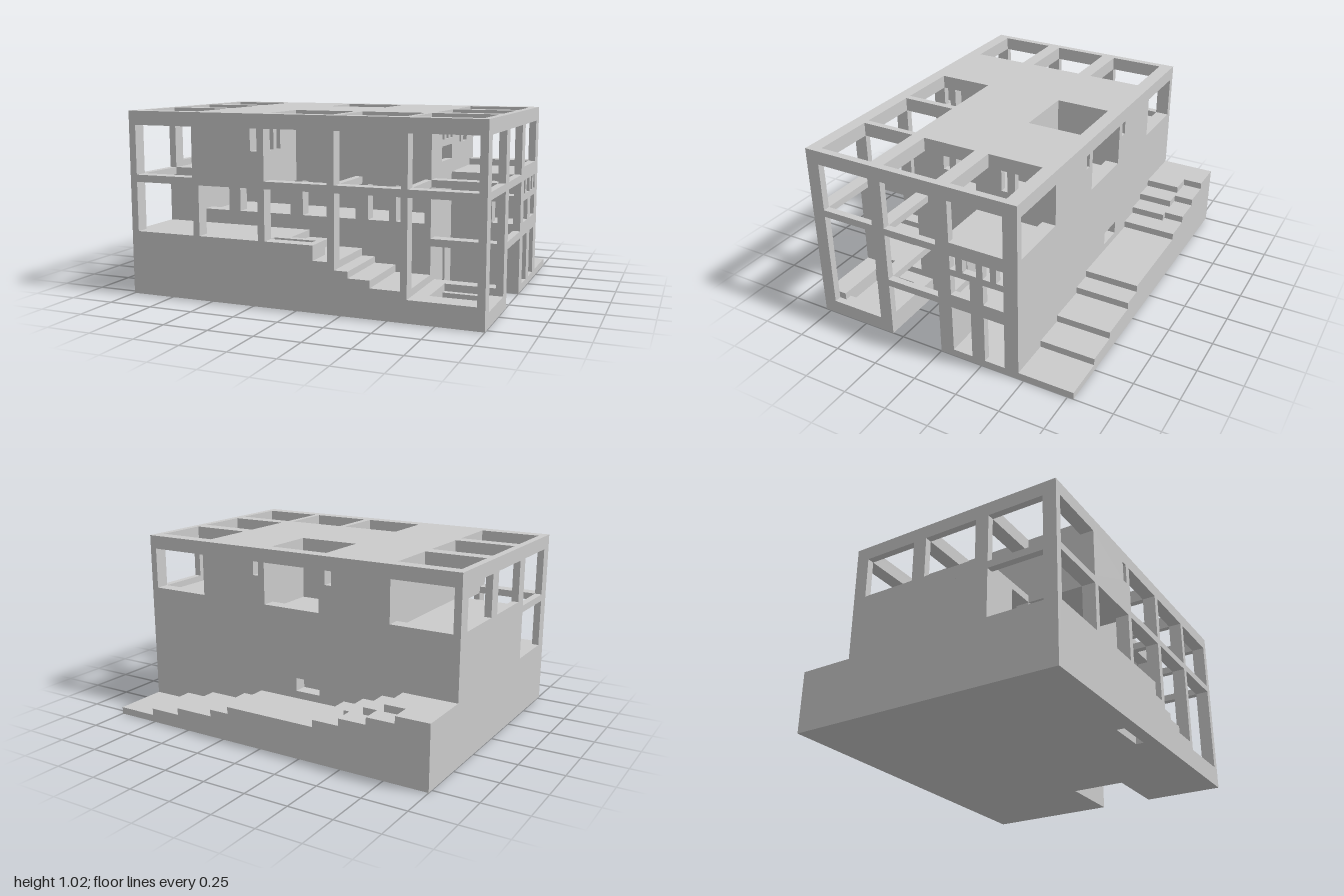
import * as THREE from 'three';

const mat = new THREE.MeshStandardMaterial({ color: 0xcccccc, flatShading: true });

// [u0, u1, v0, v1] becomes a rectangle; a list of points stays a polygon
const outline = (r) => typeof r[0] === 'number'
  ? [[r[0], r[2]], [r[1], r[2]], [r[1], r[3]], [r[0], r[3]]] : r;

export function createModel() {
  const group = new THREE.Group();
  group.name = 'house';

  // Plate with holes, a..b thick along its axis.
  // Drawn in (x, y) for axis z, (z, y) for axis x and (x, z) for axis y.
  function plate(name, axis, a, b, shapeDef, holes = []) {
    const pts = (r) => {
      const list = outline(r).map(([u, v]) => new THREE.Vector2(
        axis === 'x' ? -u : u, axis === 'y' ? -v : v));
      // mirrored outlines are reversed to stay counter-clockwise
      return axis === 'z' ? list : list.reverse();
    };
    const shape = new THREE.Shape(pts(shapeDef));
    for (const h of holes) shape.holes.push(new THREE.Path(pts(h)));
    const geo = new THREE.ExtrudeGeometry(shape, { depth: b - a, bevelEnabled: false });
    geo.translate(0, 0, a);
    if (axis === 'x') geo.rotateY(Math.PI / 2);
    if (axis === 'y') geo.rotateX(-Math.PI / 2);
    const mesh = new THREE.Mesh(geo, mat);
    mesh.name = name;
    group.add(mesh);
  }
  const block = (name, x0, x1, z0, z1, h, y0 = 0) => plate(name, 'y', y0, h, [x0, x1, z0, z1]);

  // Structural grid
  const X = [[-0.96, -0.607], [-0.57, -0.217], [-0.178, 0.177], [0.216, 0.57], [0.605, 0.96]];
  const Z = [[-0.393, -0.08], [-0.003, 0.315], [0.392, 0.708]];
  const bay = (i, y0, y1) => [...X[i], y0, y1];
  const cell = (i, j) => [...X[i], ...Z[j]];
  const TOP = 1.02, HEAD = 0.943, SILL = 0.707, UP = 0.67, MID = 0.63, LOW = 0.355;
  const FRONT = 0.783, BACK = -0.783;

  // Roof and upper floor with open bays
  plate('roof', 'y', HEAD, TOP, [-1, 1, -0.47, FRONT],
    [cell(0, 0), cell(0, 1), cell(0, 2), cell(2, 0), cell(2, 2), cell(3, 2),
      cell(4, 0), cell(4, 1), cell(4, 2)]);
  plate('upperFloor', 'y', MID, UP, [-1, 1, -0.47, FRONT],
    [cell(0, 2), cell(2, 2), cell(3, 2), cell(4, 1), cell(4, 2)]);

  // Front wall, with sills following the stairs
  plate('frontWall', 'z', 0.708, FRONT, [-1, 1, 0, TOP], [
    bay(0, UP, HEAD), bay(2, UP, HEAD), bay(3, UP, HEAD), bay(4, UP, HEAD),
    [-0.255, -0.217, 0.825, HEAD],
    bay(0, LOW, MID), bay(1, LOW, MID), bay(4, 0.12, MID),
    [[-0.178, LOW], [0.097, LOW], [0.097, 0.275], [0.177, 0.275], [0.177, MID], [-0.178, MID]],
    [[0.216, 0.235], [0.29, 0.235], [0.29, 0.2], [0.41, 0.2], [0.41, 0.16], [0.57, 0.16],
      [0.57, MID], [0.216, MID]],
  ]);

  // Back wall
  plate('backWall', 'z', -0.47, -0.393, [-1, 1, 0, TOP], [
    bay(0, SILL, HEAD), bay(2, SILL, HEAD), bay(4, SILL, HEAD),
    [-0.255, -0.217, 0.865, HEAD], [0.216, 0.25, 0.865, HEAD],
    [-0.18, -0.03, 0.24, 0.315],
  ]);

  // Left end wall, with the notch of the entrance cut from its foot
  plate('entranceWall', 'x', 0.96, 1,
    [[-0.47, 0], [0, 0], [0, 0.315], [0.318, 0.315], [0.318, 0], [FRONT, 0], [FRONT, TOP], [-0.47, TOP]], [
      [...Z[2], UP, HEAD], [...Z[2], 0.08, MID],
      [0, 0.318, UP, HEAD], [0, 0.318, LOW, MID],
      [-0.39, -0.078, SILL, HEAD],
      [-0.115, -0.078, 0.55, MID], [-0.235, -0.155, 0.55, MID],
      [-0.315, -0.272, 0.55, MID], [-0.39, -0.35, 0.55, MID],
      [-0.195, -0.078, 0.393, 0.513], [-0.39, -0.272, 0.393, 0.513],
      [-0.195, -0.078, 0.04, 0.315], [-0.39, -0.272, 0.04, 0.315],
    ]);

  // Right end wall
  plate('farEndWall', 'x', -1, -0.96, [-0.47, FRONT, 0, TOP], [
    [...Z[0], SILL, HEAD], [...Z[1], SILL, HEAD], [...Z[2], UP, HEAD], [...Z[2], LOW, MID]]);

  // Cross walls parallel to the front
  plate('loggiaWall', 'z', 0.316, 0.392, [-1, 1, 0, TOP], [
    bay(0, UP, HEAD), bay(1, UP, HEAD), bay(4, UP, HEAD),
    bay(4, LOW, MID), bay(4, 0.12, 0.315),
    [-0.77, -0.607, 0.435, MID], [-0.535, -0.217, 0.435, MID], [-0.14, 0.177, 0.435, MID],
    [0.25, 0.37, 0.435, MID], [0.41, 0.57, 0.435, MID],
  ]);
  plate('rearRoomWall', 'z', -0.08, 0, [-1, 1, 0, TOP], [
    bay(0, UP, HEAD), bay(1, UP, HEAD), bay(3, UP, HEAD), bay(4, UP, HEAD),
    [-0.96, 0.57, LOW, MID],
    [0.84, 0.96, 0.55, MID], [0.84, 0.96, 0.393, 0.513],
  ]);

  // Partitions running front to back
  plate('entrancePartition', 'x', 0.57, 0.605, [-0.47, 0.392, 0, TOP], [
    [0.12, 0.16, 0.04, 0.315], [0, 0.198, 0.747, 0.828],
    [0, 0.04, 0.865, HEAD], [0.08, 0.12, 0.865, HEAD], [0.16, 0.198, 0.865, HEAD],
    [-0.19, -0.155, 0.825, HEAD], [-0.315, -0.235, 0.825, HEAD],
  ]);
  plate('terracePartition', 'x', -0.607, -0.57, [-0.47, FRONT, MID, TOP], [[0.08, 0.12, 0.865, HEAD]]);
  plate('loggiaPartition', 'x', -0.217, -0.178, [0.316, 0.75, MID, TOP],
    [[0.587, 0.63, 0.825, HEAD], [0.667, 0.708, 0.825, HEAD]]);
  for (const [a, b] of [[-0.217, -0.178], [0.177, 0.216]])
    plate('patioPartition', 'x', a, b, [-0.47, 0, MID, TOP]);

  // Solid base and lower floors
  block('base', -0.96, -0.18, -0.393, 0.708, LOW);
  block('basementFloor', -0.18, 0.57, -0.393, 0.316, 0.04);
  block('lowerFloor', -0.18, 0.57, -0.393, 0.316, LOW, 0.315);
  block('rearRoomFloor', 0.605, 0.96, -0.393, -0.08, 0.04);
  block('rearRoomCeiling', 0.605, 0.96, -0.393, -0.08, LOW, 0.315);

  // Stairs descending behind the front wall
  const steps = [
    [-0.18, -0.1, 0.39, 0.625, LOW], [-0.1, 0.02, 0.39, 0.625, 0.315], [0.02, 0.216, 0.39, 0.625, 0.275],
    [-0.18, 0.097, 0.625, 0.665, LOW], [0.06, 0.097, 0.665, 0.708, LOW], [0.097, 0.216, 0.625, 0.708, 0.275],
    [0.216, 0.29, 0.39, 0.708, 0.235], [0.29, 0.41, 0.39, 0.708, 0.2], [0.41, 0.605, 0.39, 0.708, 0.16],
    [0.605, 0.685, 0.39, 0.708, 0.12], [0.685, 0.96, 0.665, 0.708, 0.12],
  ];
  for (const s of steps) block('stairStep', ...s);
  // Bottom landing around its sunken pit
  block('landing', 0.685, 0.96, 0.39, 0.427, 0.08);
  block('landing', 0.92, 0.96, 0.427, 0.665, 0.08);
  block('pitFloor', 0.685, 0.92, 0.427, 0.665, 0.04);

  // Stepped terrace behind the house: [outer x, inner x] of each riser
  const risers = [[-1, -1], [-0.81, -0.69], [-0.65, -0.57], [-0.49, -0.455], [-0.335, -0.335],
    [0.213, 0.213], [0.333, 0.333], [0.57, 0.57], [0.76, 0.76], [1, 1]];
  for (let i = 0; i < 9; i++) {
    const [o0, n0] = risers[i], [o1, n1] = risers[i + 1];
    plate('terraceStep', 'y', 0, LOW - i * 0.0394, [
      [o0, BACK], [o1, BACK], [o1, -0.67], [n1, -0.67], [n1, -0.47],
      [n0, -0.47], [n0, -0.67], [o0, -0.67]]);
  }
  return group;
}
